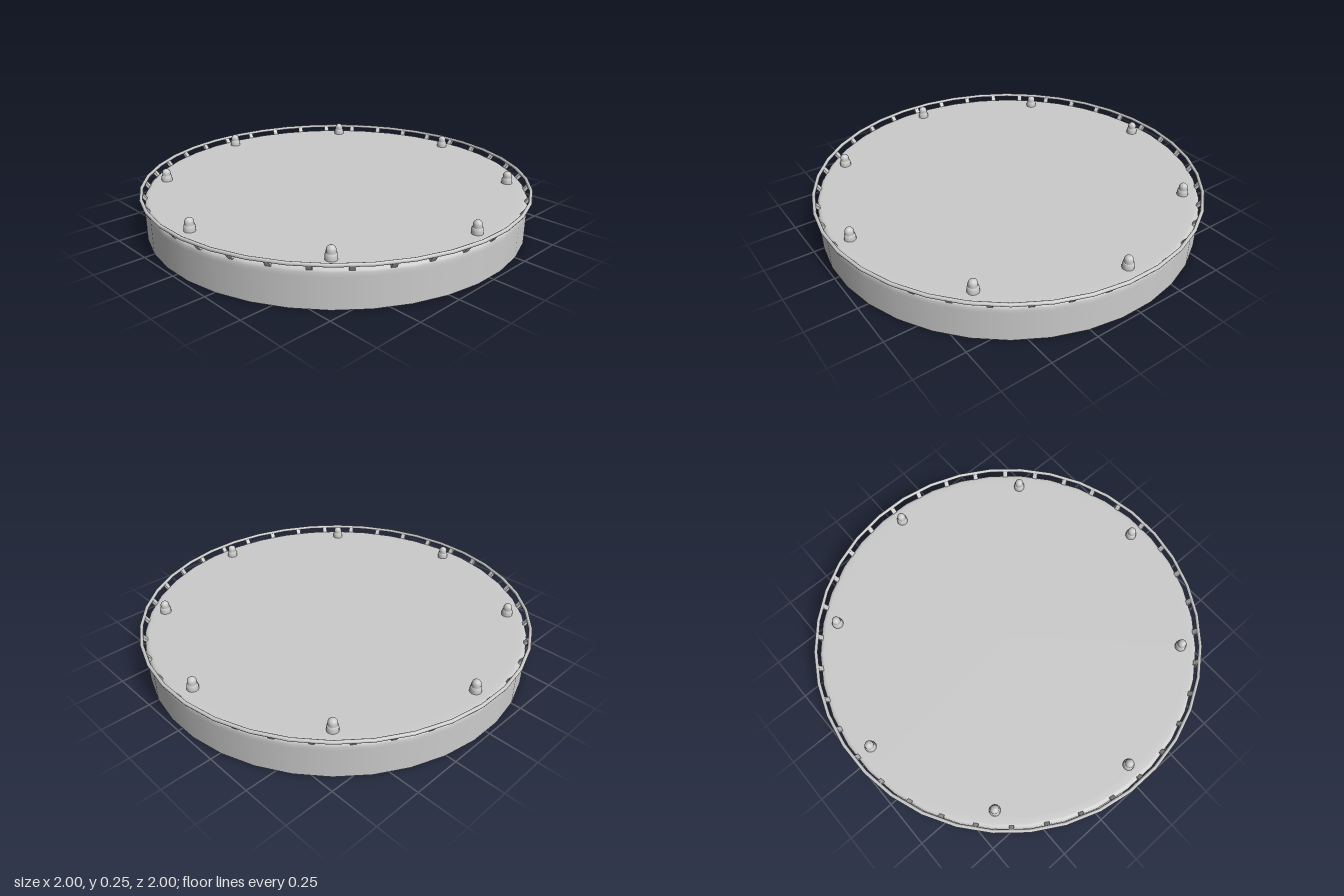
import * as THREE from 'three';

const SIDES = 36;
const STEP = (Math.PI * 2) / SIDES;

const grey = new THREE.MeshStandardMaterial({ color: 0xcccccc });
const thin = new THREE.MeshStandardMaterial({ color: 0xcccccc, side: THREE.DoubleSide });

function lathe(name, points, sides, start, material) {
  const profile = points.map(([r, y]) => new THREE.Vector2(r, y));
  const mesh = new THREE.Mesh(new THREE.LatheGeometry(profile, sides, start), material);
  mesh.name = name;
  return mesh;
}

export function createModel() {
  const model = new THREE.Group();
  model.name = 'landingPad';

  // Thin drum, open underneath, with a softly rounded top edge
  model.add(lathe('padBody', [
    [0.98, 0], [0.98, 0.15], [0.98, 0.168], [0.976, 0.179],
    [0.968, 0.186], [0.957, 0.188], [0.93, 0.188], [0, 0.188],
  ], SIDES, STEP / 2, thin));

  // Rail running around the rim
  const railGeometry = new THREE.TorusGeometry(0.993, 0.009, 8, SIDES);
  railGeometry.rotateX(Math.PI / 2).rotateY(STEP / 2);
  const rail = new THREE.Mesh(railGeometry, grey);
  rail.name = 'rimRail';
  model.add(rail);
  rail.position.y = 0.21;

  // Short posts leaning outward from the edge to the rail
  const postGeometry = new THREE.BoxGeometry(0.025, 0.042, 0.014);
  postGeometry.rotateX(0.65);
  postGeometry.translate(0, 0.194, 0.978);
  const posts = new THREE.Group();
  posts.name = 'railPosts';
  for (let i = 0; i < SIDES; i++) {
    const post = new THREE.Mesh(postGeometry, grey);
    post.name = 'railPost';
    post.rotation.y = i * STEP;
    posts.add(post);
  }
  model.add(posts);

  // Eight marker lamps: tapered collar with a domed cap
  const lamps = new THREE.Group();
  lamps.name = 'markerLamps';
  for (let i = 0; i < 8; i++) {
    const angle = (i * Math.PI) / 4;
    const lamp = new THREE.Group();
    lamp.name = 'markerLamp';
    lamp.position.set(0.895 * Math.sin(angle), 0, 0.895 * Math.cos(angle));
    lamp.add(lathe('lampCollar', [[0.028, 0.181], [0.028, 0.2], [0.026, 0.215], [0.021, 0.217]], 16, 0, thin));
    const dome = [[0.022, 0.214]];
    for (let k = 0; k <= 6; k++) {
      const t = (k / 6) * (Math.PI / 2);
      dome.push([0.022 * Math.cos(t), 0.23 + 0.022 * Math.sin(t)]);
    }
    lamp.add(lathe('lampDome', dome, 16, 0, thin));
    lamps.add(lamp);
  }
  model.add(lamps);

  return model;
}
